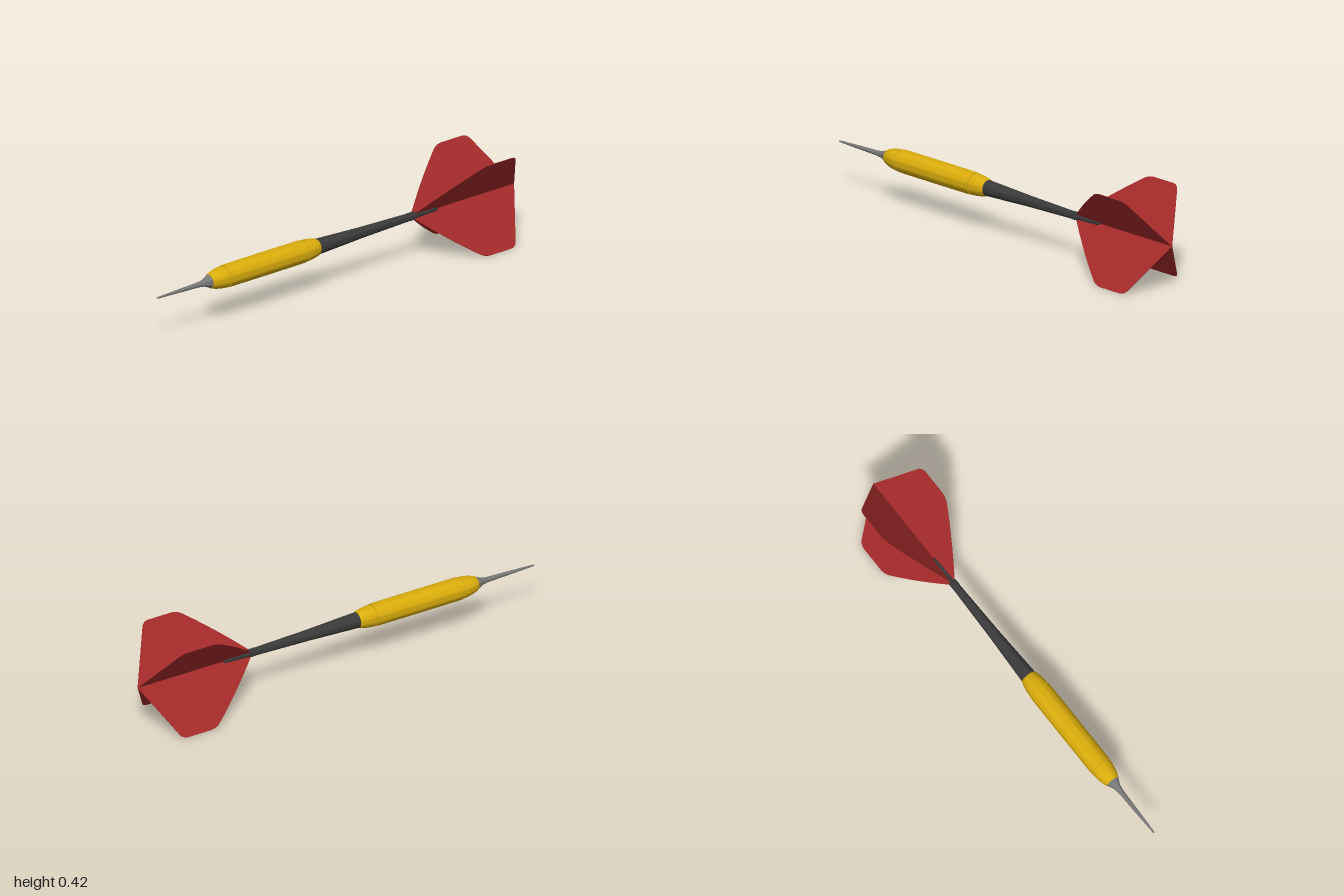
import * as THREE from 'three';
import { toCreasedNormals } from 'three/addons/utils/BufferGeometryUtils.js';

const AXIS_Y = 0.21;

// Revolve [z, radius] points (listed back to front) around the long axis.
function turned(name, points, material) {
  const profile = points.map(([z, r]) => new THREE.Vector2(r, z));
  const geometry = new THREE.LatheGeometry(profile, 40).rotateX(Math.PI / 2);
  const mesh = new THREE.Mesh(toCreasedNormals(geometry, 0.6), material);
  mesh.name = name;
  return mesh;
}

export function createModel() {
  const steel = new THREE.MeshStandardMaterial({ color: 0x777777 });
  const yellow = new THREE.MeshStandardMaterial({ color: 0xd9ac0c });
  const black = new THREE.MeshStandardMaterial({ color: 0x3a3a3a });
  const red = new THREE.MeshStandardMaterial({ color: 0xa52a2a, side: THREE.DoubleSide });

  const dart = new THREE.Group();
  dart.name = 'dart';
  const body = new THREE.Group();
  body.name = 'body';
  body.position.y = AXIS_Y;
  dart.add(body);

  // Needle point with a flared root
  body.add(turned('point', [
    [0.69, 0], [0.69, 0.031], [0.705, 0.029], [0.72, 0.022], [0.735, 0.016],
    [0.755, 0.0125], [0.78, 0.011], [0.88, 0.008], [0.985, 0.004], [0.997, 0.0025], [1, 0],
  ], steel));

  // Barrel with tapered ends and a fine groove near each end
  body.add(turned('barrel', [
    [0.105, 0], [0.105, 0.036], [0.112, 0.039], [0.13, 0.043], [0.155, 0.047], [0.178, 0.0485],
    [0.178, 0.046], [0.183, 0.046], [0.183, 0.0495], [0.2, 0.0505], [0.4, 0.051], [0.6, 0.0505],
    [0.622, 0.0495], [0.622, 0.046], [0.627, 0.046], [0.627, 0.0485],
    [0.65, 0.046], [0.675, 0.041], [0.695, 0.035], [0.705, 0.03], [0.705, 0],
  ], yellow));

  // Tapered stem
  body.add(turned('stem', [
    [-0.42, 0], [-0.42, 0.017], [-0.4, 0.0175], [-0.15, 0.024], [0.06, 0.033], [0.11, 0.035], [0.11, 0],
  ], black));

  // Ribbed collar and the holder gripping the flights
  for (let i = 0; i < 3; i++) {
    const z = -0.415 - i * 0.01;
    body.add(turned('collarRing', [
      [z - 0.004, 0], [z - 0.004, 0.0165], [z - 0.002, 0.0185], [z + 0.002, 0.0185], [z + 0.004, 0.0165], [z + 0.004, 0],
    ], black));
  }
  body.add(turned('flightHolder', [
    [-0.572, 0], [-0.57, 0.006], [-0.565, 0.0095], [-0.555, 0.011], [-0.45, 0.014], [-0.435, 0.016], [-0.41, 0.016], [-0.41, 0],
  ], black));

  // Four flights: outline drawn with distance behind the centre on x, radius on y
  const R = 0.267;
  const outline = new THREE.Shape();
  outline.moveTo(0.43, 0);
  outline.lineTo(0.437, 0.018);
  outline.quadraticCurveTo(0.56, 0.148, 0.68, 0.248);
  outline.quadraticCurveTo(0.7, R - 0.002, 0.73, R);
  outline.lineTo(0.845, R);
  outline.quadraticCurveTo(0.87, R - 0.001, 0.882, 0.245);
  outline.lineTo(1, 0);
  outline.closePath();
  const flightGeometry = new THREE.ExtrudeGeometry(outline, { depth: 0.002, bevelEnabled: false, curveSegments: 10 })
    .translate(0, 0, -0.001)
    .rotateY(Math.PI / 2);
  const tilt = Math.atan2(0.165, 0.21);
  for (const angle of [tilt, -tilt, Math.PI - tilt, Math.PI + tilt]) {
    const flight = new THREE.Mesh(flightGeometry, red);
    flight.name = 'flight';
    flight.rotation.z = angle;
    body.add(flight);
  }

  return dart;
}
